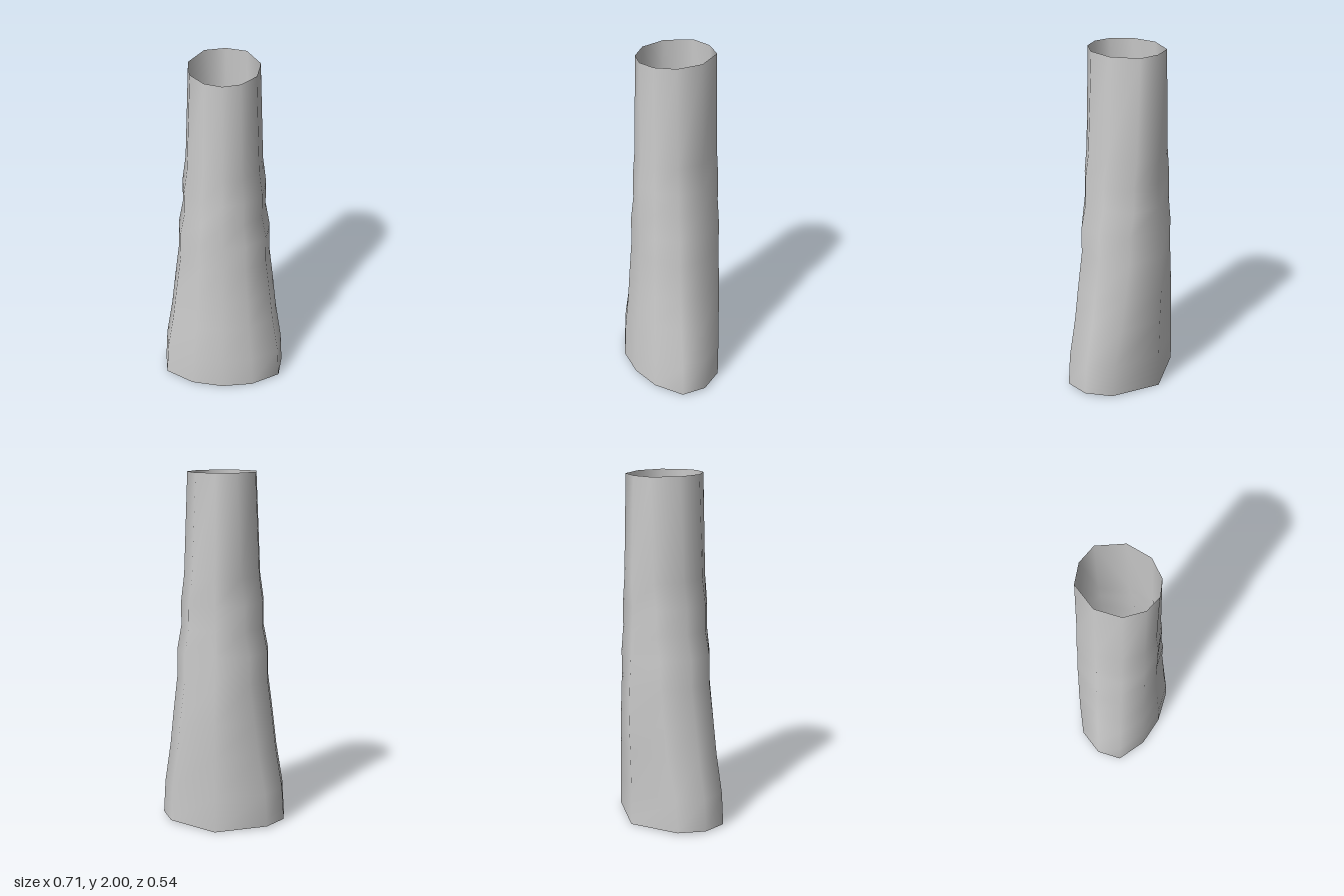
import * as THREE from 'three';

// Right half of the end cross-sections, back to front: [x, z]
const TOP = [[0, -0.226], [0.113, -0.197], [0.19, -0.057], [0.172, 0.087], [0.093, 0.178], [0, 0.207]];
const BOTTOM = [[0, -0.26], [0.28, -0.137], [0.356, 0.005], [0.338, 0.148], [0.178, 0.24], [0, 0.267]];

// Levels of the sleeve: [height, half width, back z, front z]
const LEVELS = [
  [0.01, 0.356, -0.26, 0.267],
  [0.2, 0.345, -0.257, 0.262],
  [0.43, 0.309, -0.262, 0.246],
  [0.62, 0.288, -0.269, 0.232],
  [0.84, 0.261, -0.262, 0.224],
  [1.0, 0.259, -0.253, 0.224],
  [1.14, 0.233, -0.246, 0.224],
  [1.28, 0.233, -0.239, 0.223],
  [1.43, 0.213, -0.245, 0.208],
  [2.0, 0.19, -0.226, 0.207],
];

// Blend the two end sections by width; back and front seams follow their own profile
function ring([y, width, back, front]) {
  const t = (width - 0.19) / 0.166;
  const half = TOP.map(([x, z], i) => {
    const [bx, bz] = BOTTOM[i];
    return [x + (bx - x) * t, y, z + (bz - z) * t];
  });
  half[0][2] = back;
  half[5][2] = front;
  half[1][2] -= 0.016 * Math.sin(Math.PI * t);
  if (y < 0.1) half[0][1] = 0; // hem dips slightly at the back
  const mirrored = half.slice(1, 5).reverse().map(([x, h, z]) => [-x, h, z]);
  return [...half, ...mirrored];
}

// Open tube through all the rings, sharing vertices for smooth shading
function loft(rings) {
  const n = rings[0].length;
  const index = [];
  for (let j = 0; j < rings.length - 1; j++) {
    for (let i = 0; i < n; i++) {
      const a = j * n + i, b = j * n + (i + 1) % n;
      index.push(a, a + n, b, b, a + n, b + n);
    }
  }
  const geometry = new THREE.BufferGeometry();
  geometry.setAttribute('position', new THREE.Float32BufferAttribute(rings.flat(2), 3));
  geometry.setIndex(index);
  geometry.computeVertexNormals();
  return geometry;
}

export function createModel() {
  const group = new THREE.Group();
  const material = new THREE.MeshStandardMaterial({ color: 0xcccccc, side: THREE.DoubleSide });
  const sleeve = new THREE.Mesh(loft(LEVELS.map(ring)), material);
  sleeve.name = 'sleeve';
  group.add(sleeve);
  return group;
}
